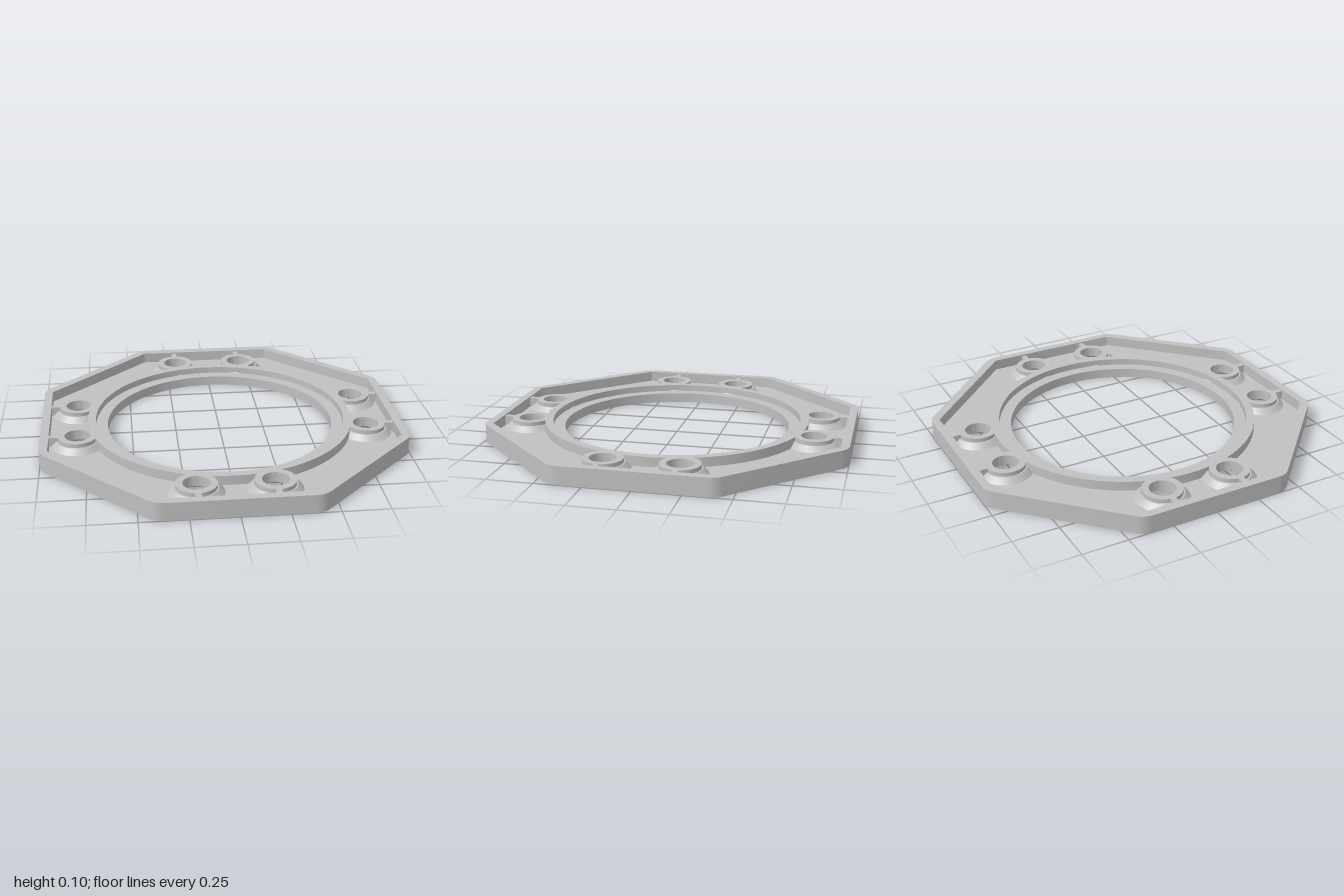
import * as THREE from 'three';
import { toCreasedNormals } from 'three/addons/utils/BufferGeometryUtils.js';

const FLOOR = 0.04, LEDGE = 0.055, TOP = 0.092, HEIGHT = 0.1;

// Octagon with sides at +-half and corners at +-flat, each corner eased by a short curve
function octagon(half, flat, ease, Type = THREE.Shape) {
  const corners = [
    [half, -flat], [half, flat], [flat, half], [-flat, half],
    [-half, flat], [-half, -flat], [-flat, -half], [flat, -half],
  ].map(([x, y]) => new THREE.Vector2(x, y));
  const shape = new Type();
  corners.forEach((c, i) => {
    const towards = (p) => c.clone().add(p.clone().sub(c).setLength(ease));
    const a = towards(corners[(i + 7) % 8]), b = towards(corners[(i + 1) % 8]);
    if (i === 0) shape.moveTo(a.x, a.y);
    else shape.lineTo(a.x, a.y);
    shape.quadraticCurveTo(c.x, c.y, b.x, b.y);
  });
  shape.closePath();
  return shape;
}

function circle(x, y, r) {
  return new THREE.Path().absarc(x, y, r, 0, Math.PI * 2, true);
}

// Upright extrusion between two heights
function slab(shape, y0, y1, curveSegments) {
  const g = new THREE.ExtrudeGeometry(shape, { depth: y1 - y0, bevelEnabled: false, curveSegments });
  g.rotateX(-Math.PI / 2).translate(0, y0, 0);
  return toCreasedNormals(g, 0.5);
}

function turned(profile, segments) {
  const points = profile.map(([r, y]) => new THREE.Vector2(r, y));
  return toCreasedNormals(new THREE.LatheGeometry(points, segments), 0.5);
}

export function createModel() {
  const model = new THREE.Group();
  const grey = new THREE.MeshStandardMaterial({ color: 0xc0c0c0 });
  grey.name = 'light grey';
  const add = (name, geometry, parent = model) => {
    const mesh = new THREE.Mesh(geometry, grey);
    mesh.name = name;
    parent.add(mesh);
    return mesh;
  };

  // Eight screw bosses, a pair on each straight side
  const spots = [];
  for (let side = 0; side < 4; side++) {
    for (const s of [-0.2, 0.2]) {
      const p = new THREE.Vector2(s, 0.8).rotateAround(new THREE.Vector2(), side * Math.PI / 2);
      spots.push({ x: p.x, z: p.y, turn: -side * Math.PI / 2 });
    }
  }

  // Floor plate with the large opening and the screw holes
  const floor = octagon(1, 0.415, 0.045);
  floor.holes.push(circle(0, 0, 0.635));
  spots.forEach(({ x, z }) => floor.holes.push(circle(x, -z, 0.124)));
  add('floorPlate', slab(floor, 0, FLOOR, 48));

  // Raised wall around the outside
  const rim = octagon(1, 0.415, 0.045);
  rim.holes.push(octagon(0.955, 0.39, 0.008, THREE.Path));
  add('outerRim', slab(rim, FLOOR, HEIGHT, 6));

  // Stepped collar around the opening
  add('innerCollar', turned([
    [0.745, FLOOR], [0.745, TOP], [0.7, TOP], [0.7, LEDGE], [0.635, LEDGE], [0.635, FLOOR],
  ], 96));

  // Boss with a sloped foot, a bore and a countersink underneath
  const bossGeometry = turned([
    [0.145, FLOOR], [0.115, 0.07], [0.107, 0.07], [0.107, TOP],
    [0.07, TOP], [0.07, 0.035], [0.088, 0.035], [0.125, 0],
  ], 48);
  // Thin rib tying the boss to the outer rim
  const ribGeometry = new THREE.BoxGeometry(0.03, TOP - FLOOR, 0.065);
  ribGeometry.translate(0, (TOP + FLOOR) / 2, 0.1315);

  spots.forEach(({ x, z, turn }) => {
    const group = new THREE.Group();
    group.name = 'screwBoss';
    group.position.set(x, 0, z);
    group.rotation.y = turn;
    add('boss', bossGeometry, group);
    add('rib', ribGeometry, group);
    model.add(group);
  });

  return model;
}
